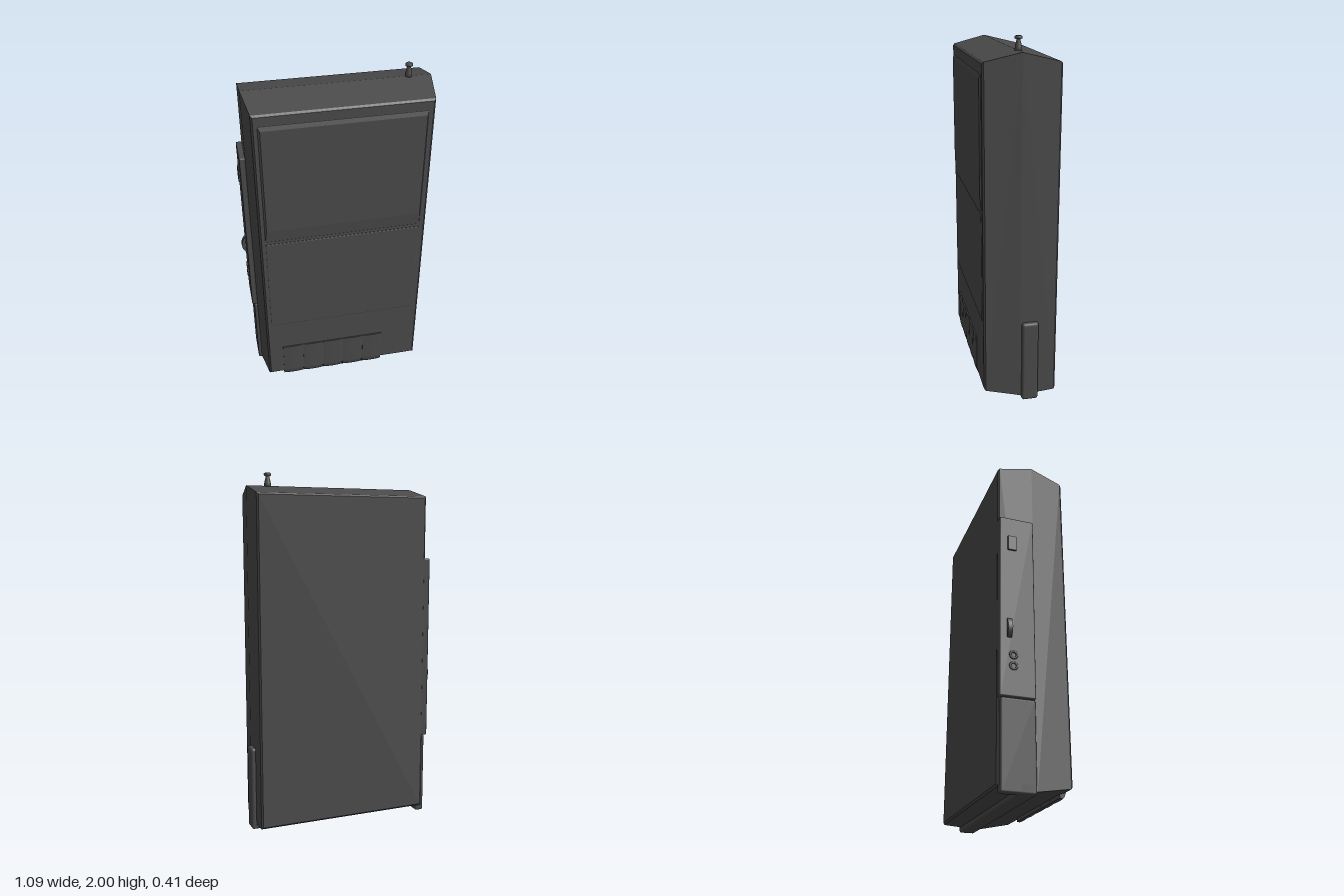
import * as THREE from 'three';
import { ConvexGeometry } from 'three/addons/geometries/ConvexGeometry.js';
import { RoundedBoxGeometry } from 'three/addons/geometries/RoundedBoxGeometry.js';

const CX = 0.0125; // centre line of the case
const casing = new THREE.MeshStandardMaterial({ color: 0x4a4a4a });
casing.name = 'charcoalPlastic';

export function createModel() {
  const group = new THREE.Group();

  function add(name, geometry, x = 0, y = 0, z = 0) {
    const mesh = new THREE.Mesh(geometry, casing);
    mesh.name = name;
    mesh.position.set(x, y, z);
    group.add(mesh);
    return mesh;
  }

  // Rounded box given by its limits on each axis
  function box(name, [x0, x1], [y0, y1], [z0, z1], r = 0.006) {
    return add(name, new RoundedBoxGeometry(x1 - x0, y1 - y0, z1 - z0, 2, r),
      (x0 + x1) / 2, (y0 + y1) / 2, (z0 + z1) / 2);
  }

  // Convex solid from rectangles: [z, left, right, bottom, top]
  function loft(name, sections) {
    const points = [];
    for (const [z, x0, x1, y0, y1] of sections) {
      for (const x of [x0, x1]) for (const y of [y0, y1]) points.push(new THREE.Vector3(x, y, z));
    }
    return add(name, new ConvexGeometry(points));
  }

  // Case: tapering towards the front, with a ridged top
  loft('case', [
    [-0.206, 0.494, 0.046, 1.872],
    [-0.197, 0.503, 0.036, 1.882],
    [0, 0.503, 0.02, 1.93],
    [0.188, 0.474, 0.055, 1.885],
    [0.198, 0.464, 0.066, 1.875],
  ].map(([z, w, y0, y1]) => [z, CX - w, CX + w, y0, y1]));

  // Speaker panel with a sloping lower lip, and the cassette door
  loft('speakerPanel', [
    [0.19, -0.435, 0.455, 1.1, 1.83],
    [0.199, -0.43, 0.45, 1.11, 1.82],
    [0.206, -0.42, 0.445, 1.185, 1.8],
  ]);
  loft('cassetteDoor', [
    [0.19, -0.43, 0.45, 0.475, 1.09],
    [0.2, -0.43, 0.45, 0.475, 1.09],
    [0.202, -0.426, 0.446, 0.479, 1.086],
  ]);

  // Row of keys whose lower ends curl under the case
  const side = new THREE.Shape();
  side.moveTo(-0.165, 0.03);
  side.lineTo(-0.182, 0.028);
  side.quadraticCurveTo(-0.196, 0.04, -0.201, 0.075);
  side.lineTo(-0.202, 0.278);
  side.lineTo(-0.165, 0.278);
  side.closePath();
  const pitch = 0.127;
  for (let i = 0; i < 5; i++) {
    const key = new THREE.ExtrudeGeometry(side, { depth: pitch - 0.004, steps: 6, bevelEnabled: false });
    key.rotateY(Math.PI / 2);
    const p = key.attributes.position;
    for (let v = 0; v < p.count; v++) {
      // Bow the face of the key a little across its width
      const t = p.getX(v) / (pitch - 0.004) * 2 - 1;
      if (p.getZ(v) > 0.17) p.setZ(v, p.getZ(v) + 0.004 * (1 - t * t));
    }
    key.computeVertexNormals();
    add('key' + (i + 1), key, -0.368 + i * pitch, 0, 0);
  }

  // Battery cover wrapping under the case and up both sides
  box('batteryCoverBase', [-0.51, 0.54], [0, 0.06], [-0.1, -0.008], 0.012);
  box('batteryCoverRight', [-0.51, -0.46], [0.002, 0.475], [-0.195, -0.008], 0.01);
  box('batteryCoverLeft', [0.48, 0.54], [0.002, 0.475], [-0.1, -0.008], 0.014);

  // Control strip on the side
  box('controlStrip', [-0.522, -0.46], [0.475, 1.53], [-0.205, -0.01], 0.008);
  const wheel = add('volumeWheel', new THREE.CylinderGeometry(0.075, 0.075, 0.026, 32), -0.471, 0.85, -0.152);
  wheel.rotation.x = Math.PI / 2;
  for (const y of [0.64, 0.7]) {
    const socket = add('socket', new THREE.TorusGeometry(0.018, 0.006, 8, 20), -0.523, y, -0.13);
    socket.rotation.y = Math.PI / 2;
  }
  box('slideSwitch', [-0.53, -0.5], [1.32, 1.41], [-0.16, -0.11], 0.004);

  // Aerial tip
  const tip = [[0, 1.92], [0.02, 1.92], [0.018, 1.945], [0.011, 1.975], [0.011, 1.982], [0.02, 1.985],
    [0.02, 1.996], [0.014, 2], [0, 2]];
  add('aerial', new THREE.LatheGeometry(tip.map(([r, y]) => new THREE.Vector2(r, y)), 20), 0.395, 0, -0.006);

  return group;
}
